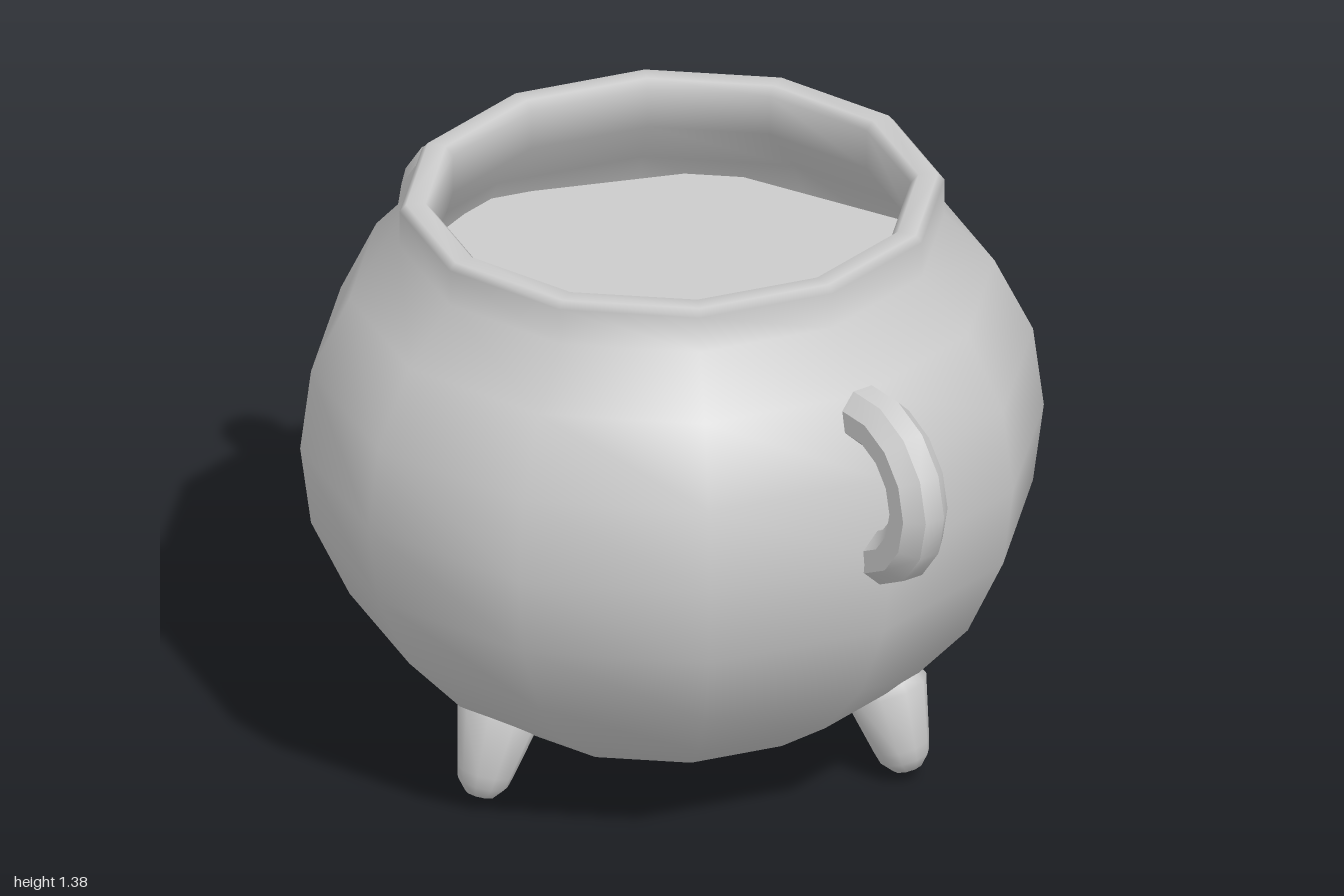
import * as THREE from 'three';
import { toCreasedNormals } from 'three/addons/utils/BufferGeometryUtils.js';

const grey = new THREE.MeshStandardMaterial({ color: 0xcccccc });
const greyDouble = new THREE.MeshStandardMaterial({ color: 0xcccccc, side: THREE.DoubleSide });

const points = (list) => list.map(([r, y]) => new THREE.Vector2(r, y));

function part(name, geometry, parent, material = grey) {
  const mesh = new THREE.Mesh(geometry, material);
  mesh.name = name;
  parent.add(mesh);
  return mesh;
}

// Half ring with an eight-sided tube, opening towards -x
function makeHandle(name) {
  const handle = new THREE.Group();
  handle.name = name;
  const ring = 0.168, tube = 0.068, half = THREE.MathUtils.degToRad(101);
  const section = [];
  for (let i = 0; i <= 8; i++) {
    const a = ((i + 0.5) / 8) * Math.PI * 2;
    section.push(new THREE.Vector2(ring + tube * Math.cos(a), tube * Math.sin(a)));
  }
  const grip = new THREE.LatheGeometry(section, 8, Math.PI / 2 - half, half * 2);
  grip.rotateX(Math.PI / 2);
  part('handleGrip', toCreasedNormals(grip, 0.65), handle);
  for (const a of [half, -half]) {
    const cap = new THREE.CircleGeometry(tube, 8);
    cap.rotateZ(Math.PI / 8).rotateX(Math.PI / 2).translate(ring, 0, 0).rotateZ(a);
    part('handleEnd', cap, handle, greyDouble);
  }
  return handle;
}

// Tapered foot with a rounded tip, leaning outwards
function makeFoot(name, angle, radius, height) {
  const pivot = new THREE.Group();
  pivot.name = name;
  pivot.rotation.y = angle;
  const profile = points([
    [0, 0], [0.035, 0.008], [0.058, 0.035], [0.066, 0.065],
    [0.098, 0.21], [0.085, 0.24], [0, 0.245],
  ]);
  const foot = part('footPeg', toCreasedNormals(new THREE.LatheGeometry(profile, 10), 0.9), pivot);
  foot.position.set(0, height, radius);
  foot.rotation.x = -0.28;
  return pivot;
}

export function createModel() {
  const model = new THREE.Group();
  model.name = 'cauldron';

  // Pot: outer wall, rolled rim and inner wall in one profile
  const pot = part('pot', new THREE.LatheGeometry(points([
    [0, 0.035], [0.225, 0.06], [0.43, 0.137], [0.6, 0.25], [0.743, 0.403],
    [0.832, 0.59], [0.857, 0.78], [0.832, 0.975], [0.743, 1.155], [0.628, 1.28],
    [0.628, 1.368], [0.613, 1.385], [0.568, 1.385], [0.55, 1.365],
    [0.55, 1.27], [0.68, 1.13], [0.77, 0.96], [0.79, 0.78], [0.68, 0.42],
    [0.4, 0.19], [0, 0.1],
  ]), 12), model);
  pot.scale.x = 0.97;

  // Contents: flat surface below the rim
  const contents = part('contents', new THREE.CircleGeometry(0.7, 8), model, greyDouble);
  contents.rotation.x = -Math.PI / 2;
  contents.position.y = 1.08;

  // Handles on both sides
  for (const [name, side] of [['leftHandle', 1], ['rightHandle', -1]]) {
    const handle = makeHandle(name);
    handle.position.set(side * 0.768, 0.947, 0);
    handle.rotation.y = side > 0 ? 0 : Math.PI;
    model.add(handle);
  }

  // Three feet
  model.add(makeFoot('frontFoot', 0, 0.545, 0.004));
  model.add(makeFoot('backLeftFoot', (Math.PI * 2) / 3, 0.585, 0.024));
  model.add(makeFoot('backRightFoot', (-Math.PI * 2) / 3, 0.6, 0.034));

  return model;
}
